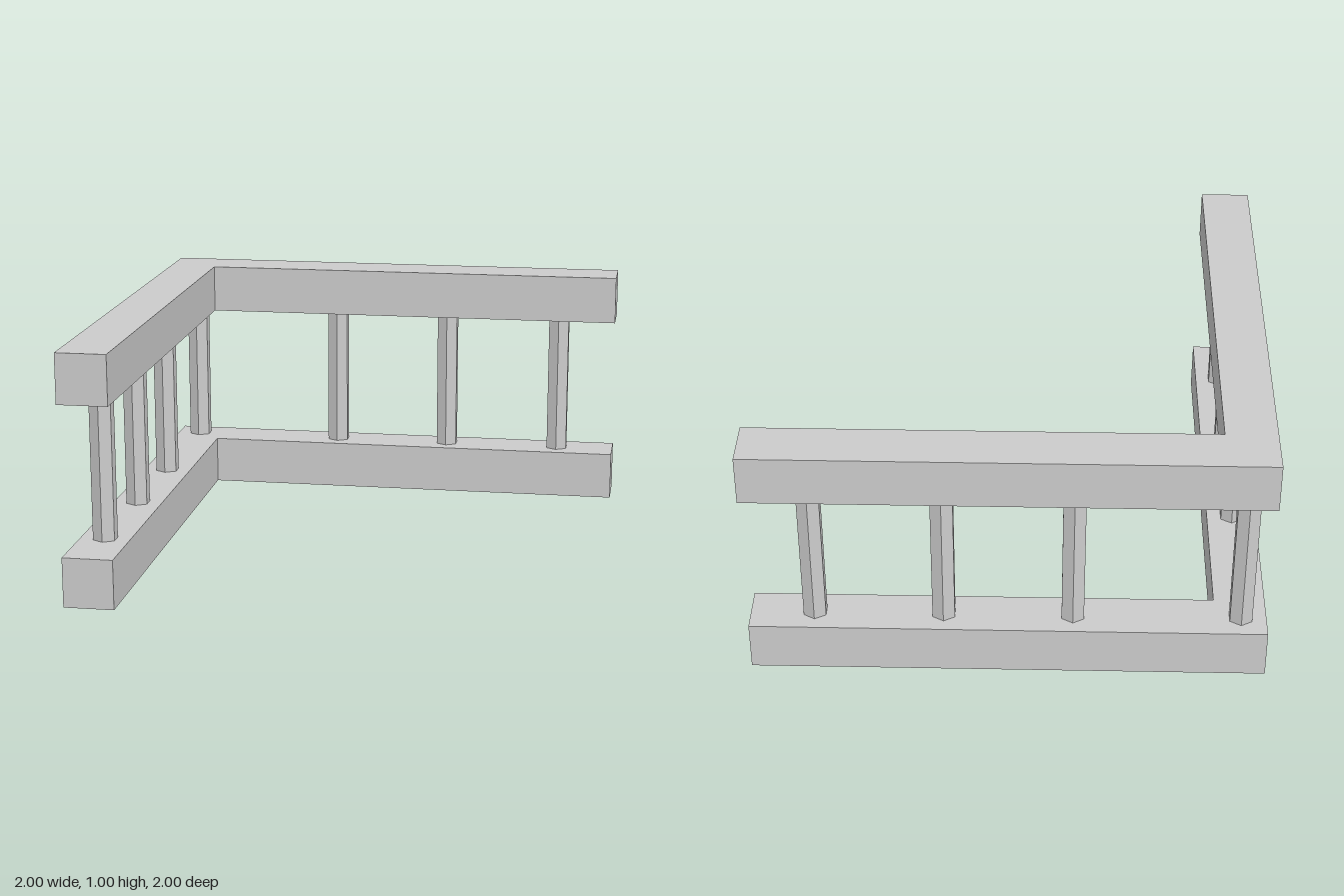
import * as THREE from 'three';

export function createModel() {
  const model = new THREE.Group();
  model.name = 'cornerRailing';
  const grey = new THREE.MeshStandardMaterial({ color: 0xcccccc, flatShading: true });
  grey.name = 'light grey';

  // L-shaped rails, bottom and top
  const outline = new THREE.Shape(
    [[-1, -1], [-0.8, -1], [-0.8, 0.8], [1, 0.8], [1, 1], [-1, 1]]
      .map(([x, y]) => new THREE.Vector2(x, y)));
  const railGeometry = new THREE.ExtrudeGeometry(outline, { depth: 0.2, bevelEnabled: false });
  railGeometry.rotateX(-Math.PI / 2);
  for (const [name, y] of [['bottomRail', 0], ['topRail', 0.8]]) {
    const rail = new THREE.Mesh(railGeometry, grey);
    rail.name = name;
    rail.position.y = y;
    model.add(rail);
  }

  // Hexagonal posts between the rails
  const postGeometry = new THREE.CylinderGeometry(0.05, 0.05, 0.6, 6, 1, true);
  const addPost = (name, x, z) => {
    const post = new THREE.Mesh(postGeometry, grey);
    post.name = name;
    post.position.set(x, 0.5, z);
    model.add(post);
  };
  addPost('cornerPost', -0.9, -0.9);
  for (let i = 0; i < 3; i++) {
    addPost('backPost', -0.25 + i * 0.5, -0.9);
    addPost('sidePost', -0.9, -0.26 + i * 0.5);
  }
  return model;
}
